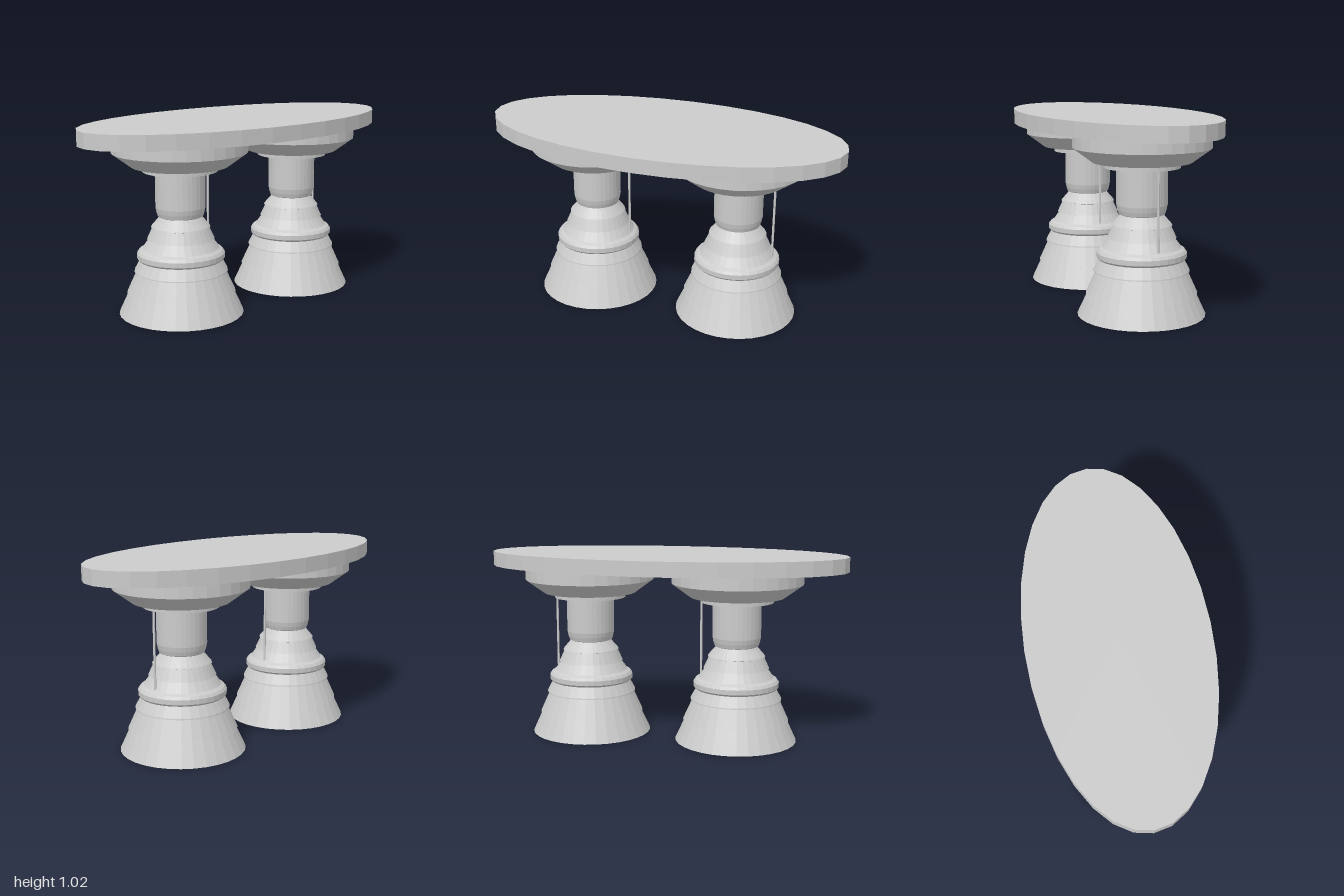
import * as THREE from 'three';

const SIDES = 32;
const grey = new THREE.MeshStandardMaterial({ color: 0xcccccc, flatShading: true });

function addPart(parent, name, geometry) {
  const mesh = new THREE.Mesh(geometry, grey);
  mesh.name = name;
  parent.add(mesh);
  return mesh;
}

// Turned part from [radius, height] pairs, bottom to top, closed at both ends
function turned(profile) {
  const ends = [[0, profile[0][1]], ...profile, [0, profile[profile.length - 1][1]]];
  return new THREE.LatheGeometry(ends.map(([r, y]) => new THREE.Vector2(r, y)), SIDES);
}

function createPedestal(name) {
  const pedestal = new THREE.Group();
  pedestal.name = name;

  // Stepped conical foot, each tier slightly overhanging the one below
  addPart(pedestal, 'foot', turned([
    [0.336, 0], [0.284, 0.112], [0.292, 0.114], [0.29, 0.118],
    [0.24, 0.228], [0.251, 0.23], [0.25, 0.236], [0.22, 0.292],
  ]));

  // Rounded collar
  addPart(pedestal, 'collar', turned([
    [0.212, 0.29], [0.226, 0.294], [0.235, 0.304], [0.235, 0.33],
    [0.224, 0.345], [0.205, 0.356], [0.196, 0.368],
  ]));

  // Stepped neck
  addPart(pedestal, 'neck', turned([
    [0.2, 0.364], [0.171, 0.404], [0.18, 0.406], [0.178, 0.41],
    [0.151, 0.468], [0.158, 0.47], [0.155, 0.476], [0.112, 0.526],
  ]));

  // Column with a tapered lower end
  addPart(pedestal, 'column', turned([
    [0.108, 0.524], [0.121, 0.53], [0.128, 0.552], [0.133, 0.578], [0.133, 0.772],
  ]));

  addPart(pedestal, 'washer', turned([[0.199, 0.77], [0.199, 0.8]]));

  // Wide flared support under the top
  addPart(pedestal, 'support', turned([[0.257, 0.798], [0.359, 0.873], [0.359, 0.946]]));

  // Thin rod between washer and collar
  const rod = addPart(pedestal, 'rod', new THREE.CylinderGeometry(0.0065, 0.0065, 0.415, 12));
  rod.position.set(0.197, 0.5675, -0.006);

  return pedestal;
}

export function createModel() {
  const model = new THREE.Group();
  model.name = 'table';

  // Oval tabletop
  const top = addPart(model, 'tabletop', new THREE.CylinderGeometry(1, 1, 0.08, SIDES));
  top.scale.z = 0.48;
  top.position.y = 0.985;

  for (const [name, x] of [['rightPedestal', -0.406], ['leftPedestal', 0.436]]) {
    const pedestal = createPedestal(name);
    pedestal.position.set(x, 0, -0.008);
    model.add(pedestal);
  }
  return model;
}
